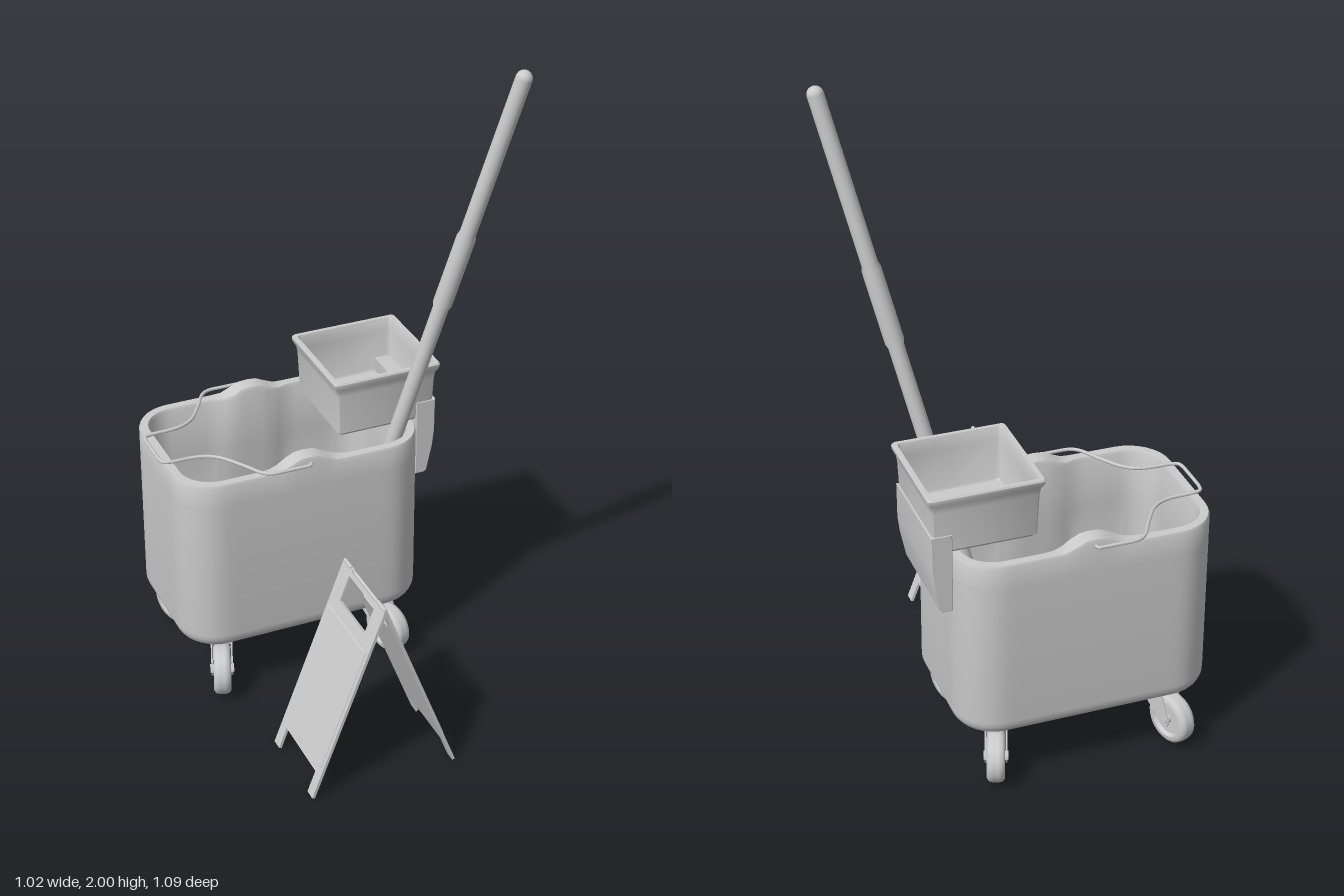
import * as THREE from 'three';
import { toCreasedNormals } from 'three/addons/utils/BufferGeometryUtils.js';

const { smoothstep } = THREE.MathUtils;
const material = new THREE.MeshStandardMaterial({ color: 0xcccccc, side: THREE.DoubleSide });

function add(parent, name, geometry, x = 0, y = 0, z = 0) {
  const mesh = new THREE.Mesh(geometry, material);
  mesh.name = name;
  mesh.position.set(x, y, z);
  parent.add(mesh);
  return mesh;
}

// One rounded-rectangle cross-section; lift and pinch shape the middle of its long sides.
function ring({ hx, hz, r, y, lift = 0, pinch = 0 }, edgeSteps) {
  const arc = 8, corner = [], pts = [];
  [[1, 1], [-1, 1], [-1, -1], [1, -1]].forEach(([sx, sz], k) => {
    for (let i = 0; i <= arc; i++) {
      const a = (k + i / arc) * Math.PI / 2;
      corner.push([sx * (hx - r) + r * Math.cos(a), sz * (hz - r) + r * Math.sin(a)]);
    }
  });
  corner.forEach((p, i) => {
    pts.push(p);
    if (i % (arc + 1) !== arc) return;
    const q = corner[(i + 1) % corner.length];
    for (let s = 1; s < edgeSteps; s++) {
      const t = s / edgeSteps;
      pts.push([p[0] + (q[0] - p[0]) * t, p[1] + (q[1] - p[1]) * t]);
    }
  });
  return pts.map(([x, z]) => {
    const ear = 1 - smoothstep(Math.abs(x), 0.015, 0.1);
    const waist = 1 - smoothstep(Math.abs(x), 0.055, 0.14);
    return [x, y + lift * ear, z - Math.sign(z) * pinch * waist];
  });
}

// Skins a list of cross-sections.
function loft(sections, edgeSteps, crease) {
  const rings = sections.map((s) => ring(s, edgeSteps));
  const n = rings[0].length, index = [];
  for (let j = 0; j < rings.length - 1; j++) {
    for (let i = 0; i < n; i++) {
      const a = j * n + i, b = j * n + (i + 1) % n;
      index.push(a, a + n, b, a + n, b + n, b);
    }
  }
  const geo = new THREE.BufferGeometry();
  geo.setAttribute('position', new THREE.Float32BufferAttribute(rings.flat(2), 3));
  geo.setIndex(index);
  return toCreasedNormals(geo, crease);
}

function polygon(points) {
  return new THREE.Shape(points.map(([x, y]) => new THREE.Vector2(x, y)));
}

function createBucket() {
  const hx = 0.395, hz = 0.26, sections = [{ hx: 0.002, hz: 0.002, r: 0.001, y: 0.185 }];
  // rounded bottom edge
  for (let i = 0; i <= 6; i++) {
    const a = i / 6 * Math.PI / 2, d = 0.055 * (1 - Math.sin(a));
    sections.push({ hx: hx - d, hz: hz - d, r: 0.13 - d, y: 0.24 - 0.055 * Math.cos(a) });
  }
  // wall, rim with raised ears, inner wall, floor
  sections.push(
    { hx, hz, r: 0.13, y: 0.7 },
    { hx, hz, r: 0.13, y: 0.77, lift: 0.026 },
    { hx: hx - 0.004, hz: hz - 0.004, r: 0.126, y: 0.779, lift: 0.03 },
    { hx: hx - 0.028, hz: hz - 0.03, r: 0.1, y: 0.779, lift: 0.03, pinch: 0.024 },
    { hx: hx - 0.032, hz: hz - 0.035, r: 0.095, y: 0.77, lift: 0.026, pinch: 0.024 },
    { hx: hx - 0.032, hz: hz - 0.035, r: 0.095, y: 0.6, pinch: 0.02 },
    { hx: hx - 0.034, hz: hz - 0.037, r: 0.09, y: 0.25 },
    { hx: hx - 0.06, hz: hz - 0.06, r: 0.07, y: 0.215 },
    { hx: 0.002, hz: 0.002, r: 0.001, y: 0.215 },
  );
  return loft(sections, 18, 0.6);
}

// Wire bail: half path mirrored across the bucket's middle
function createBail() {
  const half = [[0, 0.235], [0, 0.262], [-0.003, 0.271], [-0.02, 0.272], [-0.07, 0.272], [-0.125, 0.27],
    [-0.15, 0.255], [-0.19, 0.19], [-0.235, 0.125], [-0.27, 0.1], [-0.31, 0.09], [-0.38, 0.087],
    [-0.4, 0.08], [-0.406, 0.06], [-0.407, 0.03]];
  const pts = [...half, ...half.map(([x, z]) => [x, -z]).reverse()];
  const curve = new THREE.CatmullRomCurve3(pts.map(([x, z]) => new THREE.Vector3(x, 0, z)));
  return new THREE.TubeGeometry(curve, 160, 0.0055, 8);
}

// Wringer: flared tray with a flap hanging over the end wall
function createWringer() {
  const g = new THREE.Group();
  g.name = 'wringer';
  const square = (h, y, r = 0.012) => ({ hx: h, hz: h, r, y });
  add(g, 'wringerTray', loft([
    square(0.002, 0.79, 0.001), square(0.148, 0.79), square(0.157, 0.8), square(0.162, 0.93),
    square(0.165, 0.95), square(0.174, 0.967), square(0.175, 0.978), square(0.172, 0.983),
    square(0.16, 0.983), square(0.157, 0.975), square(0.153, 0.94), square(0.149, 0.815),
    square(0.145, 0.808), square(0.002, 0.808, 0.001),
  ], 2, 0.6), 0.19, 0, -0.261);
  const flap = polygon([[0.293, 0.85], [0.293, 0.6], [0.32, 0.6], [0.327, 0.606], [0.345, 0.69],
    [0.351, 0.74], [0.352, 0.85]]);
  add(g, 'wringerFlap', toCreasedNormals(new THREE.ExtrudeGeometry(flap,
    { depth: 0.31, bevelThickness: 0.006, bevelSize: 0.003, bevelSegments: 2 }), 0.5), 0, 0, -0.416);
  return g;
}

// Mop pole with a thicker grip and domed end
function createPole() {
  const bottom = new THREE.Vector3(0.079, 0.25, -0.16), top = new THREE.Vector3(0.487, 2, 0.153);
  const dir = top.clone().sub(bottom), L = dir.length();
  const at = (y) => (y - 0.25) / 1.75 * L;
  const profile = [[0, 0], [0.024, 0], [0.024, at(1.235)], [0.029, at(1.25)], [0.029, at(1.47)],
    [0.0245, at(1.485)], [0.0245, L - 0.025]];
  for (let i = 1; i <= 6; i++) {
    const a = i / 6 * Math.PI / 2;
    profile.push([0.0245 * Math.cos(a), L - 0.025 + 0.0245 * Math.sin(a)]);
  }
  const geo = new THREE.LatheGeometry(profile.map((p) => new THREE.Vector2(Math.max(p[0], 0), p[1])), 24);
  geo.applyQuaternion(new THREE.Quaternion().setFromUnitVectors(new THREE.Vector3(0, 1, 0), dir.normalize()));
  return geo.translate(bottom.x, bottom.y, bottom.z);
}

// Caster rolling along local z, swivel mount set back from the axle
function createCaster() {
  const g = new THREE.Group();
  g.name = 'caster';
  const tyre = [[0.012, -0.016], [0.05, -0.016], [0.056, -0.027], [0.068, -0.027], [0.077, -0.02], [0.08, -0.008],
    [0.08, 0.008], [0.077, 0.02], [0.068, 0.027], [0.056, 0.027], [0.05, 0.016], [0.012, 0.016]];
  const wheel = new THREE.LatheGeometry(tyre.map(([r, h]) => new THREE.Vector2(r, h)), 32).rotateZ(Math.PI / 2);
  add(g, 'wheel', toCreasedNormals(wheel, 0.7), 0, 0.087, 0);
  add(g, 'axle', new THREE.CylinderGeometry(0.014, 0.014, 0.074, 16).rotateZ(Math.PI / 2), 0, 0.087, 0);
  const plate = polygon([[0.085, 0.17], [0.015, 0.17], [-0.014, 0.1], [-0.02, 0.085], [-0.012, 0.07],
    [0.002, 0.066], [0.016, 0.071], [0.055, 0.105], [0.085, 0.13]]);
  for (const s of [-1, 1]) {
    const geo = new THREE.ExtrudeGeometry(plate, { depth: 0.005, bevelEnabled: false });
    add(g, 'forkPlate', geo.rotateY(Math.PI / 2), s * 0.031 - 0.0025, 0, 0);
  }
  add(g, 'forkTop', new THREE.BoxGeometry(0.067, 0.006, 0.07), 0, 0.17, -0.05);
  add(g, 'swivel', new THREE.CylinderGeometry(0.026, 0.026, 0.02, 20), 0, 0.18, -0.05);
  return g;
}

// Folding floor sign: two hinged boards
function createSign() {
  const g = new THREE.Group();
  g.name = 'floorSign';
  const L = 0.645, w = 0.146, tilt = 0.363;
  const board = polygon([[-w, -L], [-0.11, -L], [-0.11, -L + 0.072], [0.11, -L + 0.072], [0.11, -L], [w, -L],
    [w, -0.002], [0.085, -0.002], [0.08, -0.01], [-0.08, -0.01], [-0.085, -0.002], [-w, -0.002]]);
  board.holes.push(polygon([[-0.088, -0.11], [-0.088, -0.025], [0.088, -0.025], [0.088, -0.11]]));
  for (const s of [0, 1]) {
    const side = new THREE.Group();
    side.name = 'signSide';
    side.rotation.y = s * Math.PI;
    const leaf = new THREE.Group();
    leaf.name = 'signLeaf';
    leaf.rotation.z = tilt;
    add(leaf, 'signBoard', new THREE.ExtrudeGeometry(board, { depth: 0.009, bevelEnabled: false })
      .rotateY(Math.PI / 2), -0.006, 0, 0);
    const panel = polygon([[-0.13, -0.545], [0.13, -0.545], [0.13, -0.152], [-0.13, -0.152]]);
    add(leaf, 'signPanel', new THREE.ExtrudeGeometry(panel,
      { depth: 0.002, bevelThickness: 0.003, bevelSize: 0.003, bevelSegments: 1 })
      .rotateY(Math.PI / 2), 0.002, 0, 0);
    side.add(leaf);
    g.add(side);
  }
  for (const s of [-1, 1]) {
    add(g, 'signHinge', new THREE.CylinderGeometry(0.006, 0.006, 0.048, 12).rotateX(Math.PI / 2), 0, -0.003, s * 0.12);
  }
  g.position.set(-0.103, 0.606, 0.4);
  return g;
}

export function createModel() {
  const model = new THREE.Group();
  model.name = 'mopBucketSet';
  add(model, 'bucket', createBucket(), -0.105, 0, -0.26);
  add(model, 'bailHandle', createBail(), -0.103, 0.79, -0.26);
  model.add(createWringer());
  add(model, 'mopPole', createPole());
  // four casters splayed outward
  for (const sx of [-1, 1]) {
    for (const sz of [-1, 1]) {
      const caster = createCaster();
      caster.position.set(-0.104 + sx * 0.282, 0, -0.256 + sz * 0.209);
      caster.rotation.y = Math.atan2(sx * 0.36, sz);
      model.add(caster);
    }
  }
  model.add(createSign());
  return model;
}
